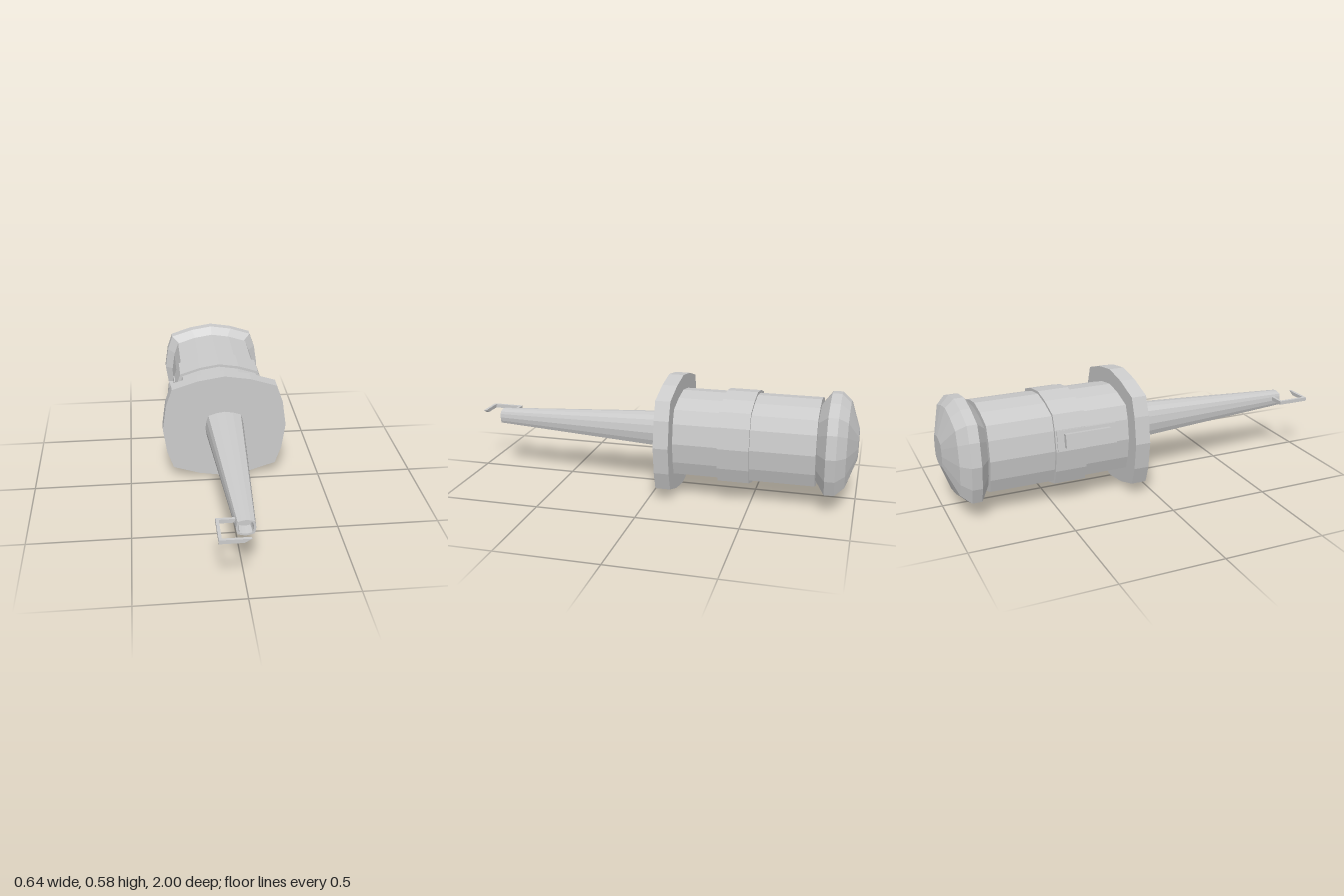
import * as THREE from 'three';

const MID = 0.29; // height of the long axis
const grey = () => new THREE.MeshStandardMaterial({ color: 0xcccccc, flatShading: true });

// Squared-off 16-sided cross-section, mirrored from one quarter
const quarter = [[1, 0], [0.94, 0.416], [0.84, 0.7], [0.42, 0.834], [0, 0.9]];
const section = [
  ...quarter,
  ...quarter.slice(0, 4).reverse().map(([x, y]) => [-x, y]),
  ...quarter.slice(1).map(([x, y]) => [-x, -y]),
  ...quarter.slice(1, 4).reverse().map(([x, y]) => [x, -y]),
];

// Skin through scaled copies of the section; rings are [z, half width]
function loft(name, rings) {
  const pos = [];
  const at = ([z, s], i) => {
    const [x, y] = section[i % section.length];
    return [x * s, y * s + MID, z];
  };
  for (let r = 0; r < rings.length - 1; r++) {
    const lo = rings[r], hi = rings[r + 1];
    for (let i = 0; i < section.length; i++) {
      const a = at(lo, i), b = at(lo, i + 1), c = at(hi, i + 1), d = at(hi, i);
      if (lo[1] > 0) pos.push(...a, ...b, ...c);
      if (hi[1] > 0) pos.push(...a, ...c, ...d);
      // close a fan where a ring shrinks to a point
      if (lo[1] > 0 && hi[1] === 0) continue;
    }
  }
  const geo = new THREE.BufferGeometry();
  geo.setAttribute('position', new THREE.Float32BufferAttribute(pos, 3));
  geo.computeVertexNormals();
  const mesh = new THREE.Mesh(geo, grey());
  mesh.name = name;
  return mesh;
}

// Straight collar with closed ends
const collar = (name, z0, z1, w) => loft(name, [[z0, 0], [z0, w], [z1, w], [z1, 0]]);

function makeHook() {
  // U-shaped wire seen from above, shape y becomes z
  const outline = [
    [-0.03, 0.832], [-0.128, 0.832], [-0.128, 0.998], [0.012, 0.998],
    [0.012, 0.984], [-0.114, 0.984], [-0.114, 0.846], [-0.03, 0.846],
  ].map(([x, y]) => new THREE.Vector2(x, y));
  const geo = new THREE.ExtrudeGeometry(new THREE.Shape(outline), { depth: 0.019, bevelEnabled: false });
  geo.rotateX(Math.PI / 2);
  geo.translate(0, 0.312, 0);
  // slant the free tip
  const p = geo.attributes.position;
  for (let i = 0; i < p.count; i++) {
    if (p.getX(i) > 0 && p.getY(i) < 0.3) p.setX(i, -0.02);
  }
  geo.computeVertexNormals();
  const mesh = new THREE.Mesh(geo, grey());
  mesh.name = 'hook';
  return mesh;
}

function makeSlider() {
  // plate and button lying on the upper facet of the right side
  const g = new THREE.Group();
  g.name = 'sideButton';
  const box = (name, x, z, w, h, d) => {
    const m = new THREE.Mesh(new THREE.BoxGeometry(w, h, d), grey());
    m.name = name;
    m.position.set(x, 0, z);
    g.add(m);
  };
  box('buttonPlate', -0.007, 0, 0.03, 0.1, 0.3);
  box('button', -0.03, 0, 0.034, 0.068, 0.23);
  g.position.set(-0.228, MID + 0.05, -0.337);
  g.rotation.z = -0.14;
  return g;
}

export function createModel() {
  const model = new THREE.Group();
  model.name = 'hookClip';
  model.add(
    collar('barrel', -0.81, -0.11, 0.237),
    collar('barrelBand', -0.495, -0.34, 0.252),
    collar('flange', -0.115, -0.04, 0.322),
    // domed push cap
    loft('cap', [[-0.998, 0], [-0.998, 0.08], [-0.95, 0.23], [-0.905, 0.275],
      [-0.857, 0.275], [-0.805, 0.197], [-0.805, 0]]),
    // tapered nozzle with a recessed mouth
    loft('nozzle', [[-0.05, 0], [-0.05, 0.101], [0.885, 0.044], [0.885, 0.034],
      [0.83, 0.03], [0.83, 0]]),
    makeHook(),
    makeSlider(),
  );
  return model;
}
